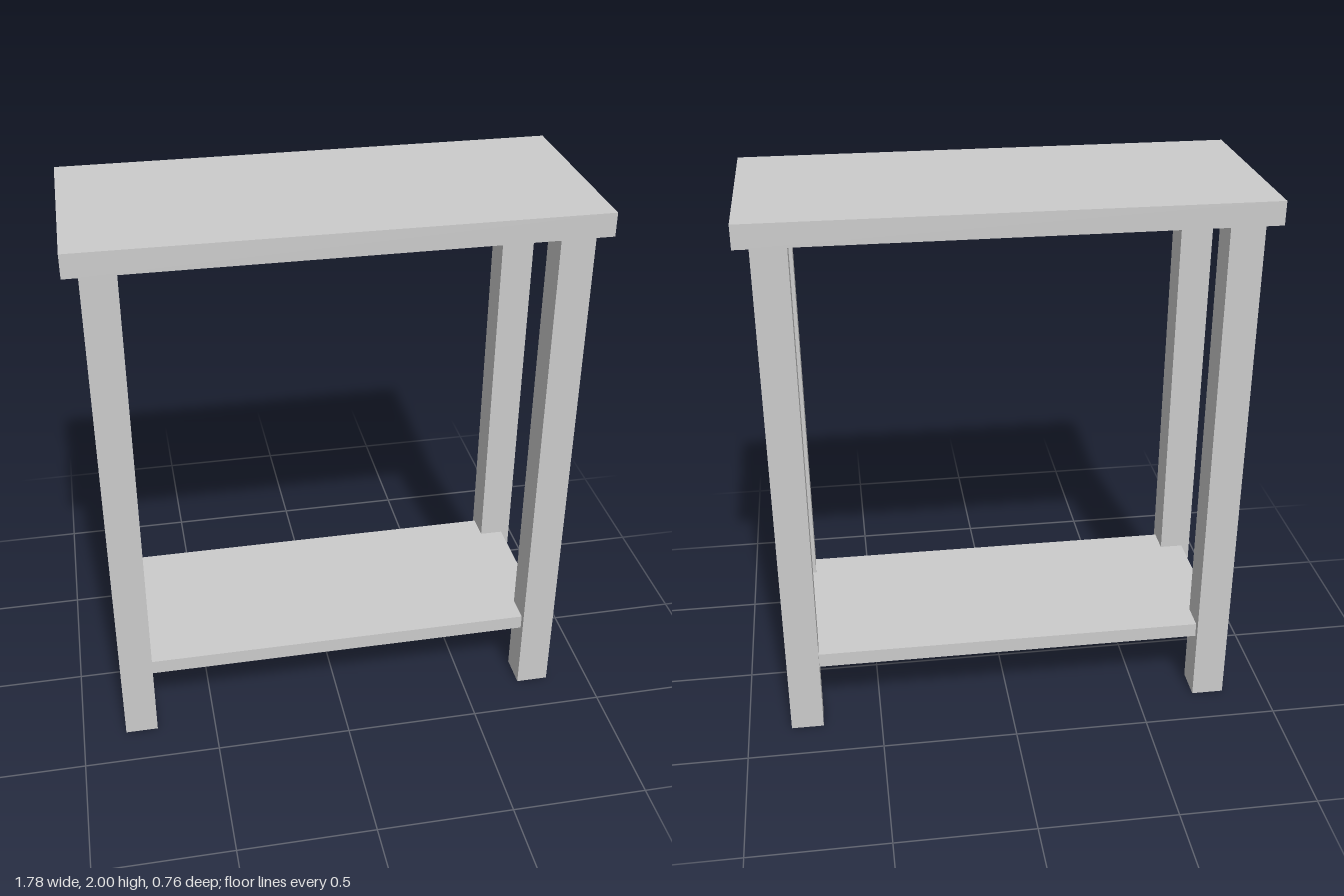
import * as THREE from 'three';

const material = new THREE.MeshStandardMaterial({ color: 0xcccccc });

// Box standing on height y
function board(name, width, height, depth, x, y, z) {
  const mesh = new THREE.Mesh(new THREE.BoxGeometry(width, height, depth), material);
  mesh.name = name;
  mesh.position.set(x, y + height / 2, z);
  return mesh;
}

export function createModel() {
  const table = new THREE.Group();
  table.name = 'sideTable';

  table.add(board('tableTop', 1.784, 0.083, 0.76, 0, 1.917, 0));

  // Lower shelf, its corners let into the legs
  table.add(board('lowerShelf', 1.616, 0.055, 0.66, 0, 0.26, 0));

  // Four square legs
  for (const [side, sx] of [['Left', 1], ['Right', -1]]) {
    for (const [end, sz] of [['front', 1], ['back', -1]]) {
      table.add(board(end + side + 'Leg', 0.12, 1.917, 0.122, sx * 0.78, 0, sz * 0.291));
    }
  }
  return table;
}
